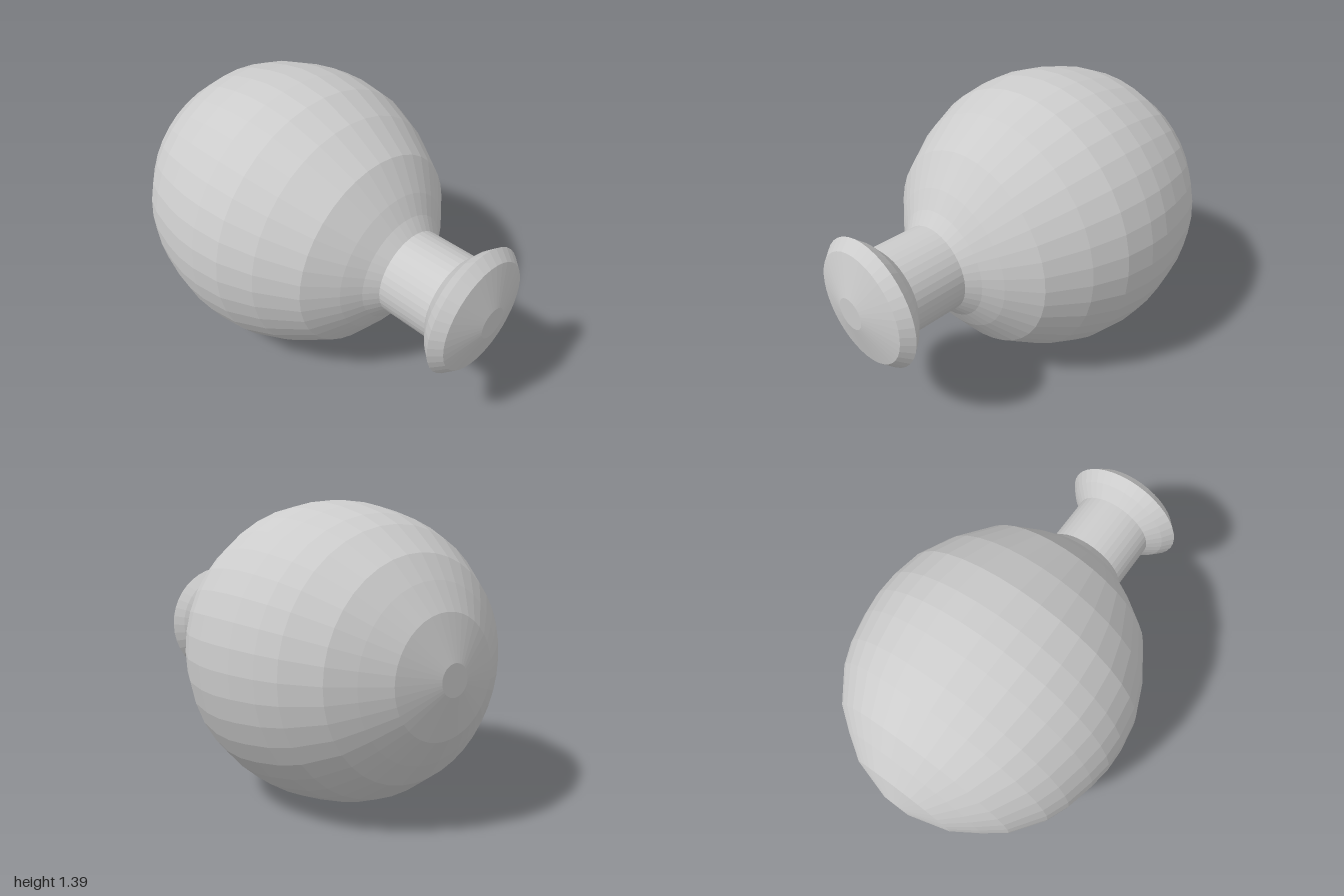
import * as THREE from 'three';

const SEGMENTS = 40;
const AXIS_HEIGHT = 0.697;

// Profiles are [radius, z] pairs running from back to front.
const bulbProfile = [
  [0, -1], [0.07, -1], [0.266, -0.945], [0.385, -0.868], [0.49, -0.79],
  [0.6, -0.64], [0.645, -0.535], [0.68, -0.395], [0.697, -0.285],
  [0.697, -0.175], [0.675, -0.025], [0.607, 0.14], [0.49, 0.325],
  [0.35, 0.435], [0.265, 0.49], [0.208, 0.54],
];
const neckProfile = [[0.208, 0.54], [0.208, 0.8]];
const knobProfile = [
  [0.208, 0.8], [0.27, 0.85], [0.312, 0.9], [0.267, 0.95], [0.075, 1], [0, 1],
];

export function createModel() {
  const model = new THREE.Group();
  model.name = 'bulbWithKnob';
  const material = new THREE.MeshStandardMaterial({ color: 0xcccccc, flatShading: true });

  // Turns a profile around the horizontal z axis.
  const addTurned = (name, profile) => {
    const points = profile.map(([r, z]) => new THREE.Vector2(r, z));
    const geometry = new THREE.LatheGeometry(points, SEGMENTS);
    geometry.rotateX(Math.PI / 2);
    geometry.translate(0, AXIS_HEIGHT, 0);
    const mesh = new THREE.Mesh(geometry, material);
    mesh.name = name;
    model.add(mesh);
  };

  addTurned('bulb', bulbProfile);
  addTurned('neck', neckProfile);
  addTurned('endKnob', knobProfile);
  return model;
}
